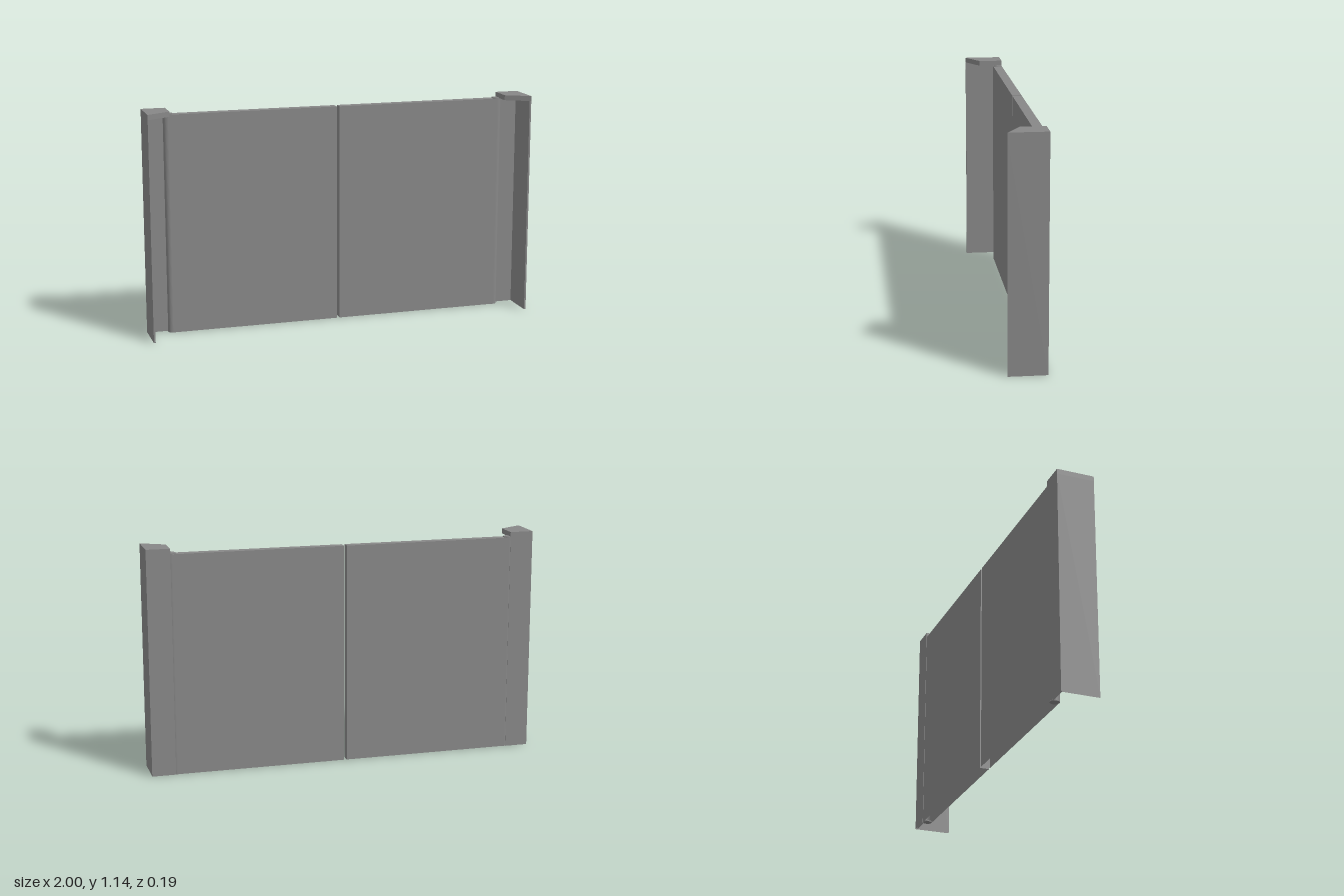
import * as THREE from 'three';

const X_PIVOT = 0.872, Z_PIVOT = -0.0708, R = 0.0238; // hinge axis and half door thickness
const BACK = -0.095, FRONT = 0.095, DOOR_BOTTOM = 0.001, DOOR_TOP = 1.117, POST_TOP = 1.12;

const material = new THREE.MeshStandardMaterial({ color: 0x878787, side: THREE.DoubleSide });

function add(parent, name, geometry, x = 0, y = 0, z = 0) {
  const mesh = new THREE.Mesh(geometry, material);
  mesh.name = name;
  mesh.position.set(x, y, z);
  parent.add(mesh);
}

// Extrude a plan outline upward; the outline's y stands for -z
function extrudePlan(shape, height) {
  const geometry = new THREE.ExtrudeGeometry(shape, { depth: height, bevelEnabled: false, curveSegments: 16 });
  return geometry.rotateX(-Math.PI / 2);
}

// Leave the underside open: the lower lid is the first half of the lid triangles
function openBottom(geometry) {
  const skip = geometry.groups[0].count / 2;
  for (const name of ['position', 'normal', 'uv']) {
    const { array, itemSize } = geometry.attributes[name];
    geometry.setAttribute(name, new THREE.BufferAttribute(array.slice(skip * itemSize), itemSize));
  }
  geometry.clearGroups();
  return geometry;
}

// Plan outline mirrored to the chosen side
function outline(s, points) {
  return new THREE.Shape(points.map(([x, y]) => new THREE.Vector2(s * x, y)));
}

function buildSide(s, label) {
  const side = new THREE.Group();
  side.name = label + 'Side';

  // Hollow door leaf with a half-round hinge edge
  const leaf = new THREE.Shape();
  const cy = -Z_PIVOT;
  leaf.moveTo(s * 0.0075, cy - R);
  leaf.lineTo(s * X_PIVOT, cy - R);
  leaf.absarc(s * X_PIVOT, cy, R, -Math.PI / 2, Math.PI / 2, s < 0);
  leaf.lineTo(s * 0.0075, cy + R);
  leaf.closePath();
  add(side, label + 'Door', openBottom(extrudePlan(leaf, DOOR_TOP - DOOR_BOTTOM)), 0, DOOR_BOTTOM, 0);

  // Pivot discs above and below the door
  const disc = new THREE.CylinderGeometry(0.0225, 0.0225, 0.006, 24);
  add(side, label + 'TopPivot', disc, s * X_PIVOT, DOOR_TOP + 0.002, Z_PIVOT);
  add(side, label + 'BottomPivot', disc, s * X_PIVOT, 0.003, Z_PIVOT);

  // L-shaped post made of thin plates
  const post = outline(s, [
    [1, -BACK], [0.88, -BACK], [0.88, -BACK - 0.009], [0.991, -BACK - 0.009],
    [0.991, -FRONT], [1, -FRONT],
  ]);
  add(side, label + 'Post', openBottom(extrudePlan(post, POST_TOP)));

  // Cap with a slanted front
  const cap = outline(s, [[1, -BACK], [0.88, -BACK], [0.88, -0.027], [1, -FRONT]]);
  add(side, label + 'Cap', extrudePlan(cap, 0.026), 0, POST_TOP - 0.001, 0);
  return side;
}

export function createModel() {
  const group = new THREE.Group();
  group.name = 'doubleDoor';
  group.add(buildSide(1, 'left'), buildSide(-1, 'right'));
  return group;
}
